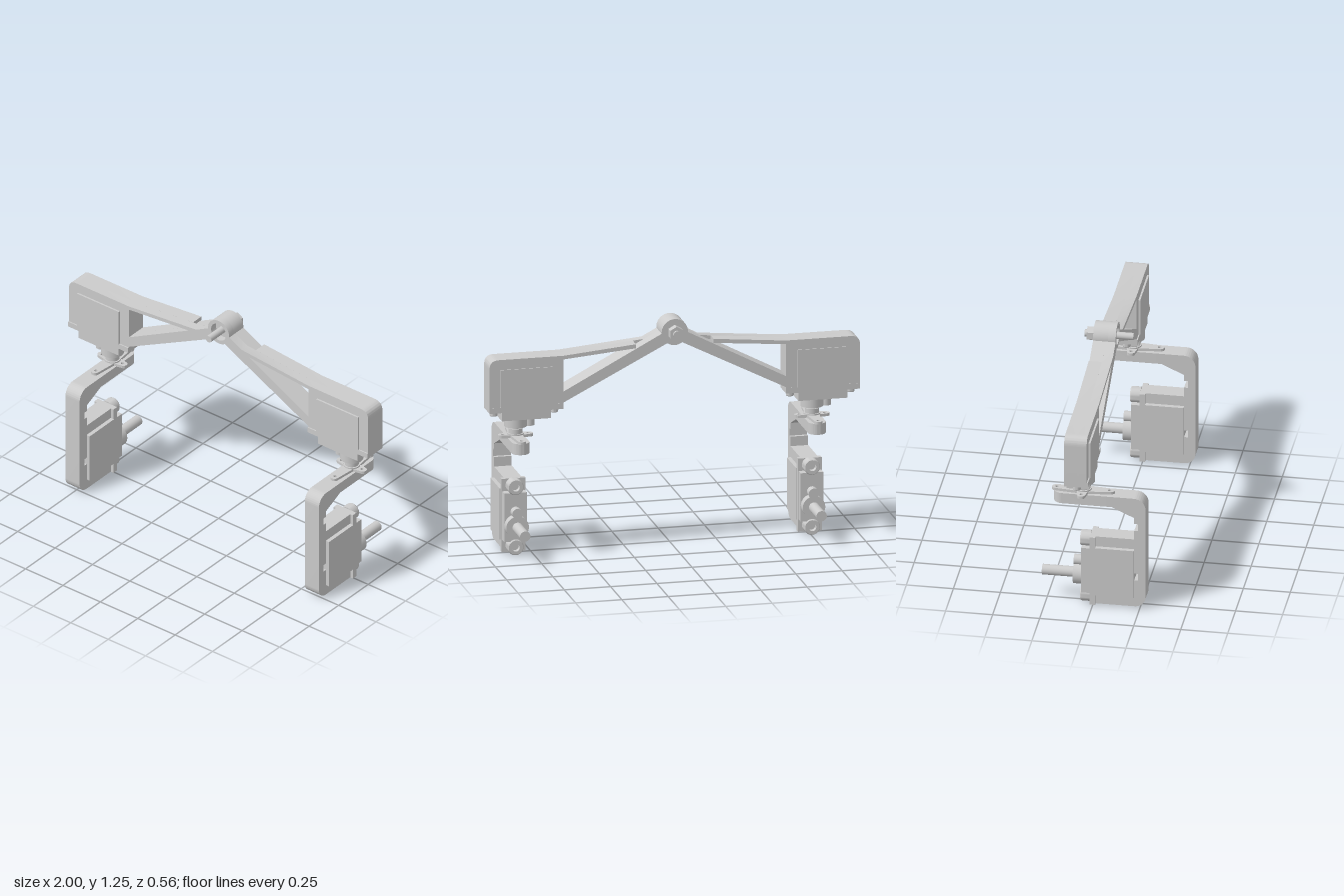
import * as THREE from 'three';
import { toCreasedNormals } from 'three/addons/utils/BufferGeometryUtils.js';

const grey = new THREE.MeshStandardMaterial({ color: 0xcccccc });

function add(parent, name, geometry, x = 0, y = 0, z = 0) {
  const mesh = new THREE.Mesh(geometry, grey);
  mesh.name = name;
  mesh.position.set(x, y, z);
  parent.add(mesh);
  return mesh;
}

const box = (w, h, d) => new THREE.BoxGeometry(w, h, d);
const cyl = (r, h, n = 32) => new THREE.CylinderGeometry(r, r, h, n);

function extrude(shape, depth) {
  const g = new THREE.ExtrudeGeometry(shape, { depth, bevelEnabled: false, curveSegments: 20 });
  return toCreasedNormals(g, 0.5);
}

function circlePath(x, y, r) {
  return new THREE.Path().absarc(x, y, r, 0, Math.PI * 2, true);
}

// Socket head screw standing on y = 0
function screwHead(r, h) {
  const pts = [[0, 0], [r, 0], [r, h * 0.88], [r * 0.9, h], [r * 0.5, h], [r * 0.5, h * 0.45], [0, h * 0.45]];
  const g = new THREE.LatheGeometry(pts.map(p => new THREE.Vector2(...p)), 28);
  return toCreasedNormals(g, 0.5);
}

// Geared motor: output along +y, length along x, origin on the outer flange face
function createServo(name, boltRadius, boltHeight) {
  const servo = new THREE.Group();
  servo.name = name;
  add(servo, 'motorBody', box(0.28, 0.205, 0.135), 0, -0.1325, 0);
  add(servo, 'mountingFlange', box(0.4, 0.03, 0.128), 0, -0.015, 0);
  add(servo, 'gearCase', box(0.265, 0.046, 0.122), 0, 0.023, 0);
  add(servo, 'outputBoss', cyl(0.061, 0.047), 0.045, 0.0675, 0);
  add(servo, 'gearBump', cyl(0.028, 0.047), -0.03, 0.0675, 0);
  add(servo, 'gearBumpBridge', box(0.05, 0.047, 0.04), -0.01, 0.0675, 0);
  for (const s of [-1, 1]) {
    add(servo, 'flangeScrew', screwHead(boltRadius, boltHeight), s * 0.164, 0, 0);
  }
  return servo;
}

// Arm outline; the rear layer has a slit between the top bar and the strut
function armShape(s, slit) {
  const shape = new THREE.Shape();
  const line = pts => pts.forEach(([x, y]) => shape.lineTo(s * x, y));
  shape.moveTo(s * 0.06, 1.179);
  if (slit) line([[0.6, 0.895], [0.6, 1.07], [0.21, 1.104], [0.21, 1.126]]);
  else line([[0.15, 1.131]]);
  line([[0.6, 1.09], [0.95, 1.09]]);
  shape.quadraticCurveTo(s * 1.0, 1.09, s * 1.0, 1.04);
  line([[1.0, 0.825], [0.94, 0.825], [0.94, 1.03], [0.66, 1.03],
    [0.66, 0.825], [0.6, 0.825], [0.6, 0.835], [0.03, 1.125]]);
  shape.closePath();
  if (!slit) {
    const hole = new THREE.Path();
    hole.moveTo(s * 0.6, 1.07);
    hole.lineTo(s * 0.2, 1.105);
    hole.lineTo(s * 0.6, 0.895);
    hole.closePath();
    shape.holes.push(hole);
  }
  return shape;
}

// Hanging bracket: side profile of leg and cradle, plus a drilled top bar
function createBracket() {
  const bracket = new THREE.Group();
  bracket.name = 'hangingBracket';
  const width = 0.095;
  const p = new THREE.Shape();
  p.moveTo(0.1, 0.65);
  p.lineTo(0.22, 0.65);
  p.absarc(0.218, 0.588, 0.062, Math.PI / 2, 0, true);
  p.lineTo(0.28, 0.068);
  p.absarc(0.222, 0.068, 0.058, 0, -Math.PI / 2, true);
  [[0.015, 0.01], [0.015, 0.07], [0.22, 0.07], [0.22, 0.165], [0.24, 0.165], [0.24, 0.205],
    [0.22, 0.205], [0.22, 0.35], [0.015, 0.35], [0.015, 0.408], [0.22, 0.408], [0.22, 0.46],
    [0.24, 0.46], [0.24, 0.5], [0.22, 0.5], [0.22, 0.535], [0.1, 0.59]].forEach(q => p.lineTo(...q));
  p.closePath();
  const leg = extrude(p, width);
  leg.translate(0, 0, -width / 2).rotateY(-Math.PI / 2);
  add(bracket, 'legAndCradle', leg);

  // Plan drawn with y = -z, then laid flat
  const plan = new THREE.Shape();
  const r = width / 2;
  plan.moveTo(-r, -0.1);
  plan.lineTo(r, -0.1);
  plan.lineTo(r, 0.165);
  plan.absarc(0, 0.165, r, 0, Math.PI, false);
  plan.closePath();
  plan.holes.push(circlePath(0, 0.0575, 0.032), circlePath(0, 0.15, 0.012), circlePath(0, -0.03, 0.012));
  const bar = extrude(plan, 0.06);
  bar.rotateX(-Math.PI / 2);
  add(bracket, 'topBar', bar, 0, 0.59, 0);
  return bracket;
}

// Cross-shaped horn with tapered, round-ended arms
function createHorn() {
  const horn = new THREE.Group();
  horn.name = 'servoHorn';
  for (let i = 0; i < 4; i++) {
    const len = i % 2 ? 0.095 : 0.167;
    const tip = 0.021;
    const s = new THREE.Shape();
    s.moveTo(-0.036, 0);
    s.lineTo(0.036, 0);
    s.lineTo(tip, len - tip);
    s.absarc(0, len - tip, tip, 0, Math.PI, false);
    s.closePath();
    s.holes.push(circlePath(0, len - tip - 0.006, 0.009));
    const g = extrude(s, 0.015);
    g.rotateX(-Math.PI / 2).rotateY(i * Math.PI / 2);
    add(horn, 'hornArm', g);
  }
  add(horn, 'hornHub', cyl(0.045, 0.022), 0, 0.011, 0);
  add(horn, 'hornCollar', cyl(0.037, 0.03), 0, 0.033, 0);
  add(horn, 'outputSpline', cyl(0.028, 0.03), 0, 0.055, 0);
  return horn;
}

export function createModel() {
  const model = new THREE.Group();
  model.name = 'hingedServoFrame';

  // Hinge: counterbored barrel, through rod and hex nut
  for (const [name, bore, depth, z] of [['hingeFront', 0.05, 0.04, -0.04], ['hingeBack', 0.019, 0.08, -0.12]]) {
    const ring = new THREE.Shape().absarc(0, 0, 0.071, 0, Math.PI * 2, false);
    ring.holes.push(circlePath(0, 0, bore));
    add(model, name, extrude(ring, depth), 0, 1.178, z);
  }
  add(model, 'hingeRod', cyl(0.019, 0.26), 0, 1.178, -0.045).rotation.x = Math.PI / 2;
  const nut = new THREE.CylinderGeometry(0.04, 0.04, 0.042, 6).toNonIndexed();
  nut.computeVertexNormals();
  add(model, 'hingeNut', nut, 0, 1.178, -0.14).rotation.x = Math.PI / 2;

  const lowerBasis = new THREE.Matrix4().makeBasis(
    new THREE.Vector3(0, -1, 0), new THREE.Vector3(0, 0, -1), new THREE.Vector3(1, 0, 0));

  for (const s of [-1, 1]) {
    // Arms mirror about the hinge
    const arm = new THREE.Group();
    arm.name = s > 0 ? 'leftArm' : 'rightArm';
    add(arm, 'armFrontLayer', extrude(armShape(s, false), 0.05), 0, 0, -0.05);
    add(arm, 'armBackLayer', extrude(armShape(s, true), 0.07), 0, 0, -0.12);
    model.add(arm);

    // Servos and brackets repeat without mirroring
    const upper = createServo('upperServo', 0.021, 0.03);
    upper.position.set(s * 0.8, 0.8, -0.0575);
    upper.rotation.x = Math.PI;
    model.add(upper);

    const shaftX = s * 0.8 + 0.045;
    const horn = createHorn();
    horn.position.set(shaftX, 0.649, -0.0575);
    model.add(horn);

    const bracket = createBracket();
    bracket.position.x = shaftX;
    model.add(bracket);

    const lower = createServo('lowerServo', 0.043, 0.055);
    lower.quaternion.setFromRotationMatrix(lowerBasis);
    lower.position.set(shaftX, 0.208, -0.015);
    add(lower, 'outputShaft', cyl(0.028, 0.18), 0.045, 0.17, 0);
    model.add(lower);
  }
  return model;
}
